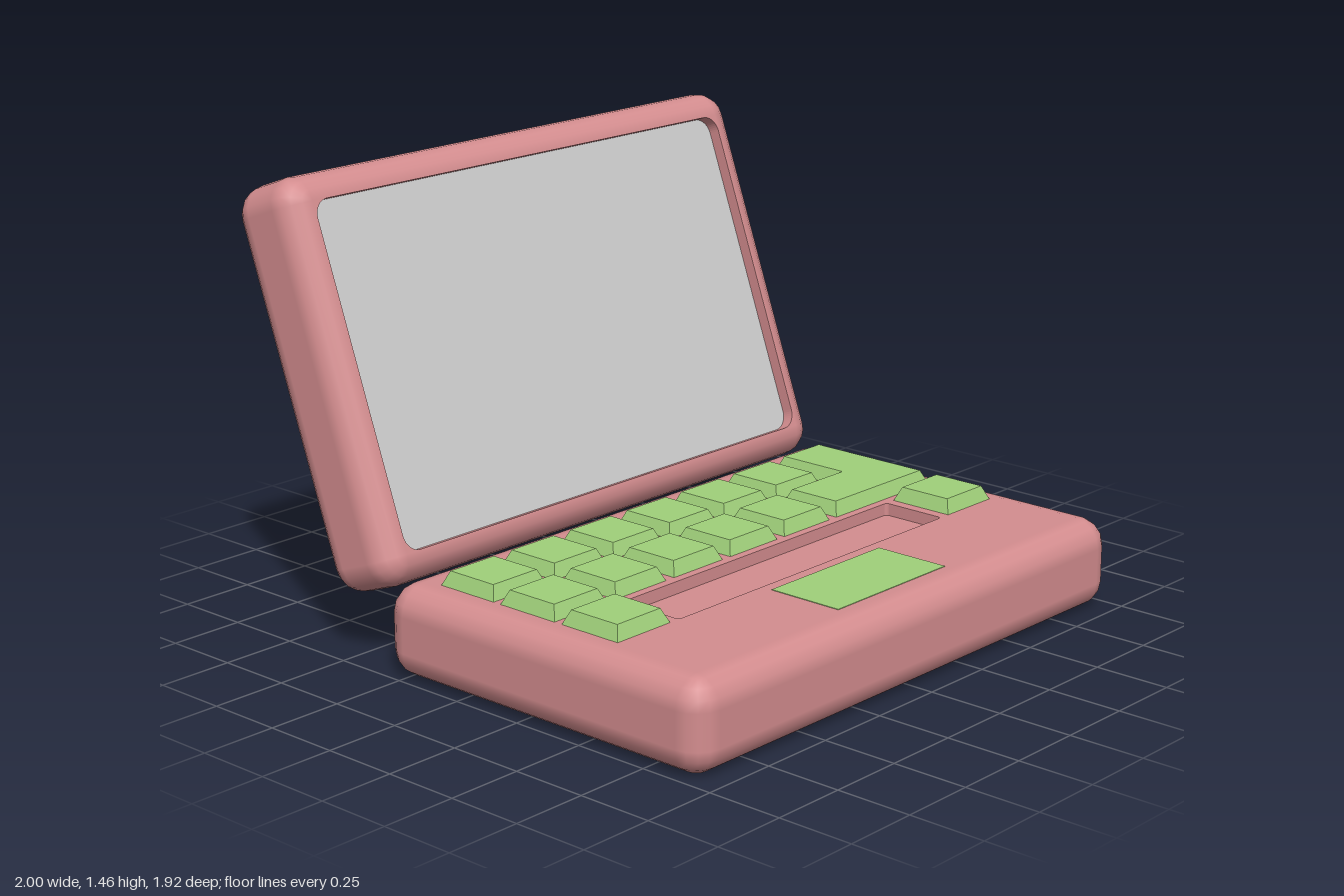
import * as THREE from 'three';

const W = 2, H = 1.28, T = 0.295, R = 0.09; // both halves share one size
const pink = new THREE.MeshStandardMaterial({ color: 0xd48d8f });
const green = new THREE.MeshStandardMaterial({ color: 0xa0d07a });
const grey = new THREE.MeshStandardMaterial({ color: 0xcccccc });

function addMesh(parent, name, geometry, material, z = 0) {
  const mesh = new THREE.Mesh(geometry, material);
  mesh.name = name;
  mesh.position.z = z;
  parent.add(mesh);
  return mesh;
}

function roundedRect(cx, cy, w, h, r) {
  const s = new THREE.Shape(), x = w / 2 - r, y = h / 2 - r;
  s.absarc(cx + x, cy + y, r, 0, Math.PI / 2);
  s.absarc(cx - x, cy + y, r, Math.PI / 2, Math.PI);
  s.absarc(cx - x, cy - y, r, Math.PI, Math.PI * 1.5);
  s.absarc(cx + x, cy - y, r, Math.PI * 1.5, Math.PI * 2);
  s.closePath();
  return s;
}

// Rounded rim of a slab, lofted from rings; its front and back stay open
function rimGeometry() {
  const seg = 4, pos = [], nor = [], idx = [];
  const signs = [[1, 1], [-1, 1], [-1, -1], [1, -1]];
  const n = 4 * (seg + 1);
  const rings = 2 * (seg + 1);
  for (let i = 0; i < rings; i++) {
    const top = i > seg;
    const a = (top ? i - seg - 1 : i - seg) / seg * Math.PI / 2;
    for (let j = 0; j < n; j++) {
      const q = Math.floor(j / (seg + 1));
      const t = (q + (j % (seg + 1)) / seg) * Math.PI / 2;
      const d = [Math.cos(a) * Math.cos(t), Math.cos(a) * Math.sin(t), Math.sin(a)];
      nor.push(...d);
      pos.push(signs[q][0] * (W / 2 - R) + R * d[0], signs[q][1] * (H / 2 - R) + R * d[1],
        (top ? 1 : -1) * (T / 2 - R) + R * d[2]);
      if (i < rings - 1) {
        const p = i * n + j, k = i * n + (j + 1) % n;
        idx.push(p, k, k + n, p, k + n, p + n);
      }
    }
  }
  const g = new THREE.BufferGeometry();
  g.setAttribute('position', new THREE.Float32BufferAttribute(pos, 3));
  g.setAttribute('normal', new THREE.Float32BufferAttribute(nor, 3));
  g.setIndex(idx);
  return g;
}

// Rounded slab facing +z with a shallow recess in its face
function slab(name, opening, depth, floorName, floorMaterial) {
  const group = new THREE.Group();
  group.name = name;
  const fw = W - 2 * R, fh = H - 2 * R;
  addMesh(group, name + 'Rim', rimGeometry(), pink);
  addMesh(group, name + 'Back', new THREE.PlaneGeometry(fw, fh), pink, -T / 2).rotation.y = Math.PI;
  const face = new THREE.Shape([[-1, -1], [1, -1], [1, 1], [-1, 1]]
    .map(([x, y]) => new THREE.Vector2(x * fw / 2, y * fh / 2)));
  face.holes.push(opening);
  addMesh(group, name + 'Face',
    new THREE.ExtrudeGeometry(face, { depth, bevelEnabled: false, curveSegments: 6 }), pink, T / 2 - depth);
  addMesh(group, floorName, new THREE.ShapeGeometry(opening, 6), floorMaterial, T / 2 - depth);
  return group;
}

// Keycap with sloping sides, its lower half sunk into the base
function keycap(parent, name, points) {
  const shape = new THREE.Shape(points.map(([x, y]) => new THREE.Vector2(x, y)));
  const g = new THREE.ExtrudeGeometry(shape, {
    depth: 0.01, bevelThickness: 0.045, bevelSize: 0.02, bevelOffset: -0.02, bevelSegments: 1,
  });
  return addMesh(parent, name, g, green, T / 2 - 0.01);
}

export function createModel() {
  const model = new THREE.Group();
  model.name = 'laptop';
  const baseZ = 0.32;

  // Base with the empty space bar slot
  const base = slab('base', roundedRect(-0.006, baseZ - 0.442, 1.252, 0.222, 0.012), 0.04, 'spaceBarSlot', pink);
  base.rotation.x = -Math.PI / 2;
  base.position.set(0, T / 2, baseZ);
  model.add(base);

  // Keys on a regular grid
  const keyX = (c) => -0.78 + 0.258 * c;
  const keyY = (r) => baseZ + 0.06 - 0.251 * r;
  const k = 0.111;
  [[0, 1, 2, 3, 4, 5], [0, 1, 2, 3, 4], [0, 6]].forEach((columns, r) => columns.forEach((c) => {
    const key = keycap(base, 'key', [[-k, -k], [k, -k], [k, k], [-k, k]]);
    key.position.x = keyX(c);
    key.position.y = keyY(r);
  }));

  // L-shaped enter key
  const x0 = keyX(5) - k, x1 = keyX(6) - k, x2 = keyX(6) + k;
  const y0 = keyY(1) - k, y1 = keyY(1) + k, y2 = keyY(0) + k;
  keycap(base, 'enterKey', [[x0, y0], [x2, y0], [x2, y2], [x1, y2], [x1, y1], [x0, y1]]);

  // Flush touchpad
  const pad = addMesh(base, 'touchpad', new THREE.BoxGeometry(0.514, 0.256, 0.004), green, T / 2);
  pad.position.x = -0.005;
  pad.position.y = baseZ - 0.72;

  // Lid leaning back, with the screen set into it
  const lid = slab('lid', roundedRect(0, 0, W - 2 * R - 0.004, H - 2 * R - 0.004, 0.055), 0.04, 'screen', grey);
  lid.rotation.x = -THREE.MathUtils.degToRad(20);
  lid.position.set(0, 0.835, -0.623);
  model.add(lid);

  return model;
}
